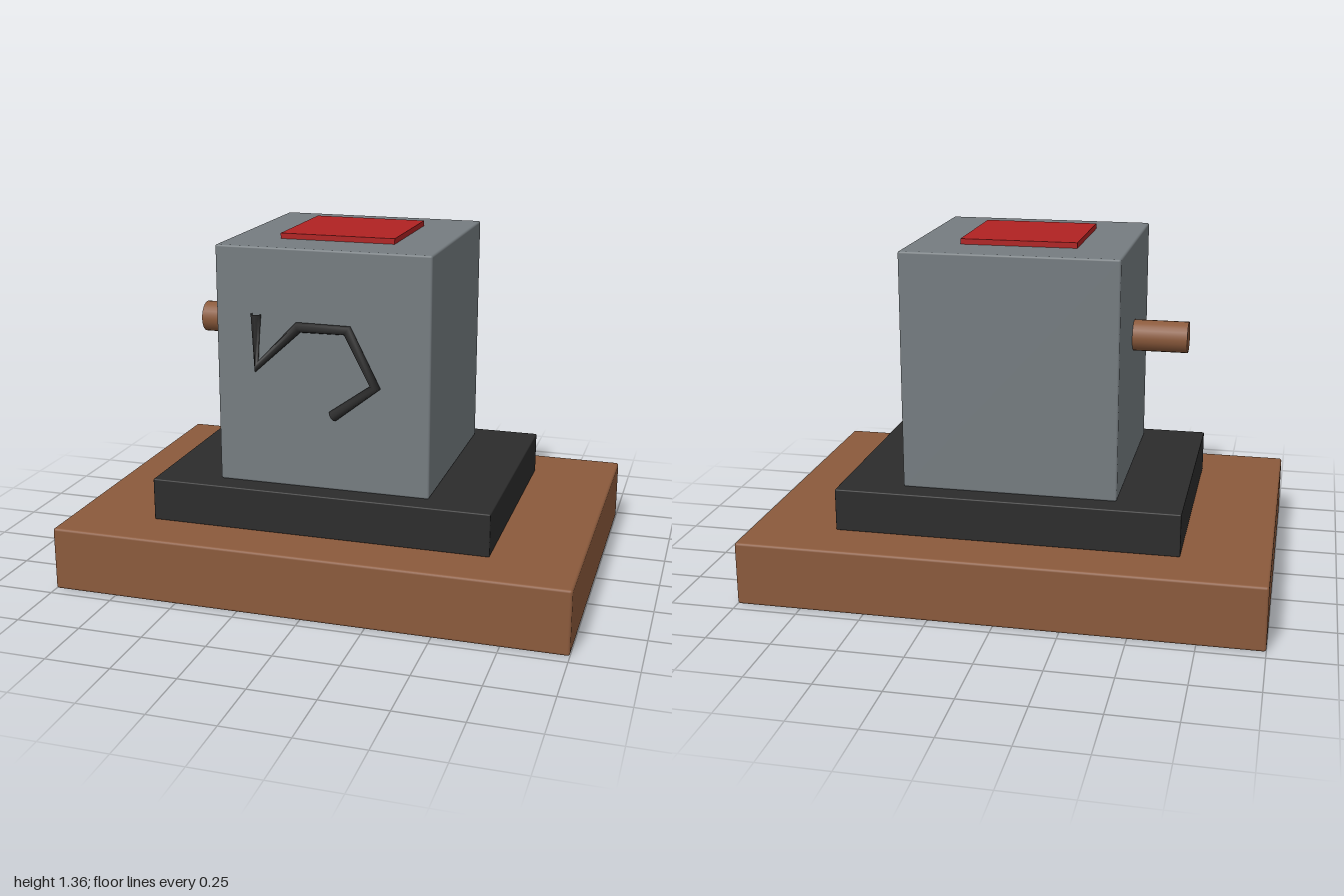
import * as THREE from 'three';
import { RoundedBoxGeometry } from 'three/addons/geometries/RoundedBoxGeometry.js';

const material = (name, color, side = THREE.FrontSide) => {
  const m = new THREE.MeshStandardMaterial({ color, side });
  m.name = name;
  return m;
};

// Angular path: one tube ring per corner, each turned to the average direction
class CornerPath extends THREE.Curve {
  constructor(points) {
    super();
    this.points = points;
  }
  getPoint(t, target = new THREE.Vector3()) {
    const last = this.points.length - 1;
    const i = Math.min(Math.floor(t * last + 1e-6), last - 1);
    return target.lerpVectors(this.points[i], this.points[i + 1], t * last - i);
  }
  getPointAt(u, target) {
    return this.getPoint(u, target);
  }
  getTangentAt(u, target = new THREE.Vector3()) {
    const last = this.points.length - 1;
    const i = Math.round(u * last);
    const a = this.points[Math.max(i - 1, 0)];
    const b = this.points[Math.min(i + 1, last)];
    return target.subVectors(b, a).normalize();
  }
}

export function createModel() {
  const group = new THREE.Group();
  const wood = material('wood brown', 0x8b5a3c);
  const dark = material('dark iron', 0x2c2c2c, THREE.DoubleSide);
  const grey = material('steel grey', 0x757c80);
  const red = material('red', 0xb02222);

  const add = (name, geometry, mat, x, y, z) => {
    const mesh = new THREE.Mesh(geometry, mat);
    mesh.name = name;
    mesh.position.set(x, y, z);
    group.add(mesh);
    return mesh;
  };
  const block = (name, mat, w, d, y0, y1, bevel) =>
    add(name, new RoundedBoxGeometry(w, y1 - y0, d, 2, bevel), mat, 0, (y0 + y1) / 2, 0);

  // Stacked blocks
  block('base', wood, 2, 1.414, 0, 0.25, 0.01);
  block('plinth', dark, 1.332, 1, 0.249, 0.416, 0.005);
  block('body', grey, 0.83, 0.83, 0.416, 1.335, 0.008);
  add('topPlate', new THREE.BoxGeometry(0.448, 0.024, 0.448), red, 0, 1.344, 0);

  // Side peg
  const peg = add('sidePeg', new THREE.CylinderGeometry(0.061, 0.061, 0.24, 24), wood, -0.508, 0.96, 0);
  peg.rotation.z = Math.PI / 2;

  // Bent rod on the front face
  const path = new CornerPath([
    [-0.255, 1.083], [-0.255, 0.88], [-0.089, 1.043],
    [0.101, 1.043], [0.208, 0.835], [0.042, 0.71],
  ].map(([x, y]) => new THREE.Vector3(x, y, 0)));
  add('frontRod', new THREE.TubeGeometry(path, 5, 0.021, 8, false), dark, 0, 0, 0.424);

  return group;
}
